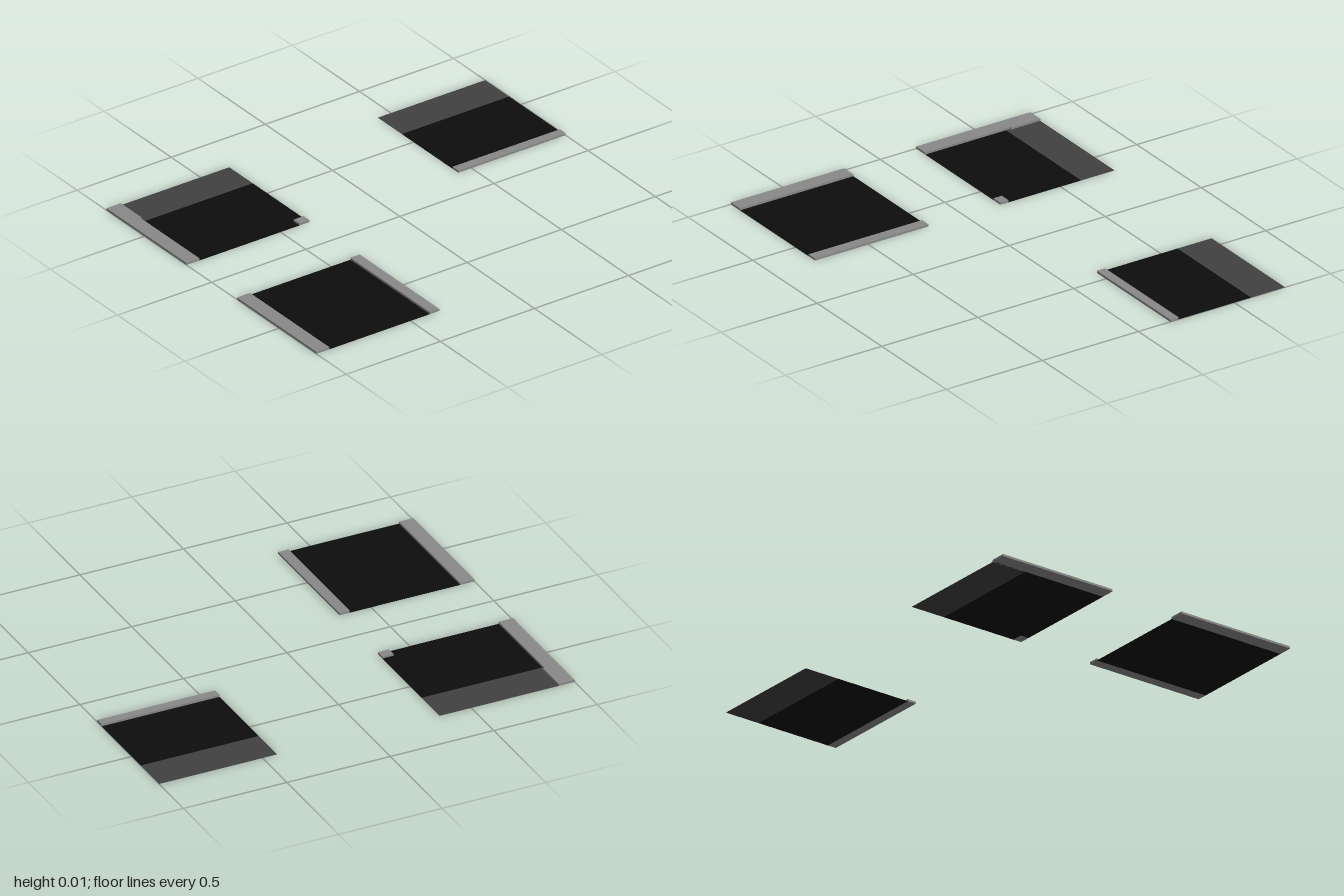
import * as THREE from 'three';

const CURB_HEIGHT = 0.01;

export function createModel() {
  const asphalt = new THREE.MeshStandardMaterial({ color: 0x0d0d0d, side: THREE.DoubleSide });
  asphalt.name = 'black asphalt';
  const shoulder = new THREE.MeshStandardMaterial({ color: 0x414141, side: THREE.DoubleSide });
  shoulder.name = 'dark grey paving';
  const concrete = new THREE.MeshStandardMaterial({ color: 0x898989 });
  concrete.name = 'grey concrete';

  // Flat sheet lying on the ground between two corners
  function sheet(name, material, x0, x1, z0, z1) {
    const geometry = new THREE.PlaneGeometry(x1 - x0, z1 - z0).rotateX(-Math.PI / 2);
    const mesh = new THREE.Mesh(geometry, material);
    mesh.name = name;
    mesh.position.set((x0 + x1) / 2, 0, (z0 + z1) / 2);
    return mesh;
  }

  // Low raised kerb between two corners
  function curb(name, x0, x1, z0, z1) {
    const mesh = new THREE.Mesh(new THREE.BoxGeometry(x1 - x0, CURB_HEIGHT, z1 - z0), concrete);
    mesh.name = name;
    mesh.position.set((x0 + x1) / 2, CURB_HEIGHT / 2, (z0 + z1) / 2);
    return mesh;
  }

  function tile(name, ...parts) {
    const group = new THREE.Group();
    group.name = name;
    group.add(...parts);
    return group;
  }

  const model = new THREE.Group();
  model.name = 'roadTiles';
  model.add(
    // Straight road with a kerb on both sides
    tile('straightRoad',
      sheet('roadSurface', asphalt, -0.93, -0.397, 0.187, 0.778),
      curb('rightCurb', -1, -0.93, 0.187, 0.778),
      curb('leftCurb', -0.397, -0.347, 0.187, 0.778)),
    // Junction with one long kerb, a corner stone and a paved strip
    tile('cornerRoad',
      sheet('roadSurface', asphalt, -0.93, -0.4, -0.608, -0.187),
      sheet('roadSurfaceSide', asphalt, -0.4, -0.347, -0.608, -0.23),
      sheet('pavedStrip', shoulder, -0.93, -0.347, -0.782, -0.608),
      curb('rightCurb', -1, -0.93, -0.782, -0.187),
      curb('curbLip', -0.93, -0.923, -0.782, -0.63),
      curb('cornerStone', -0.4, -0.347, -0.23, -0.187)),
    // Crossing road with a kerb along the front
    tile('crossRoad',
      sheet('roadSurface', asphalt, 0.43, 1, -0.587, -0.21),
      sheet('pavedStrip', shoulder, 0.43, 1, -0.765, -0.587),
      curb('frontCurb', 0.43, 1, -0.21, -0.167)),
  );
  return model;
}
